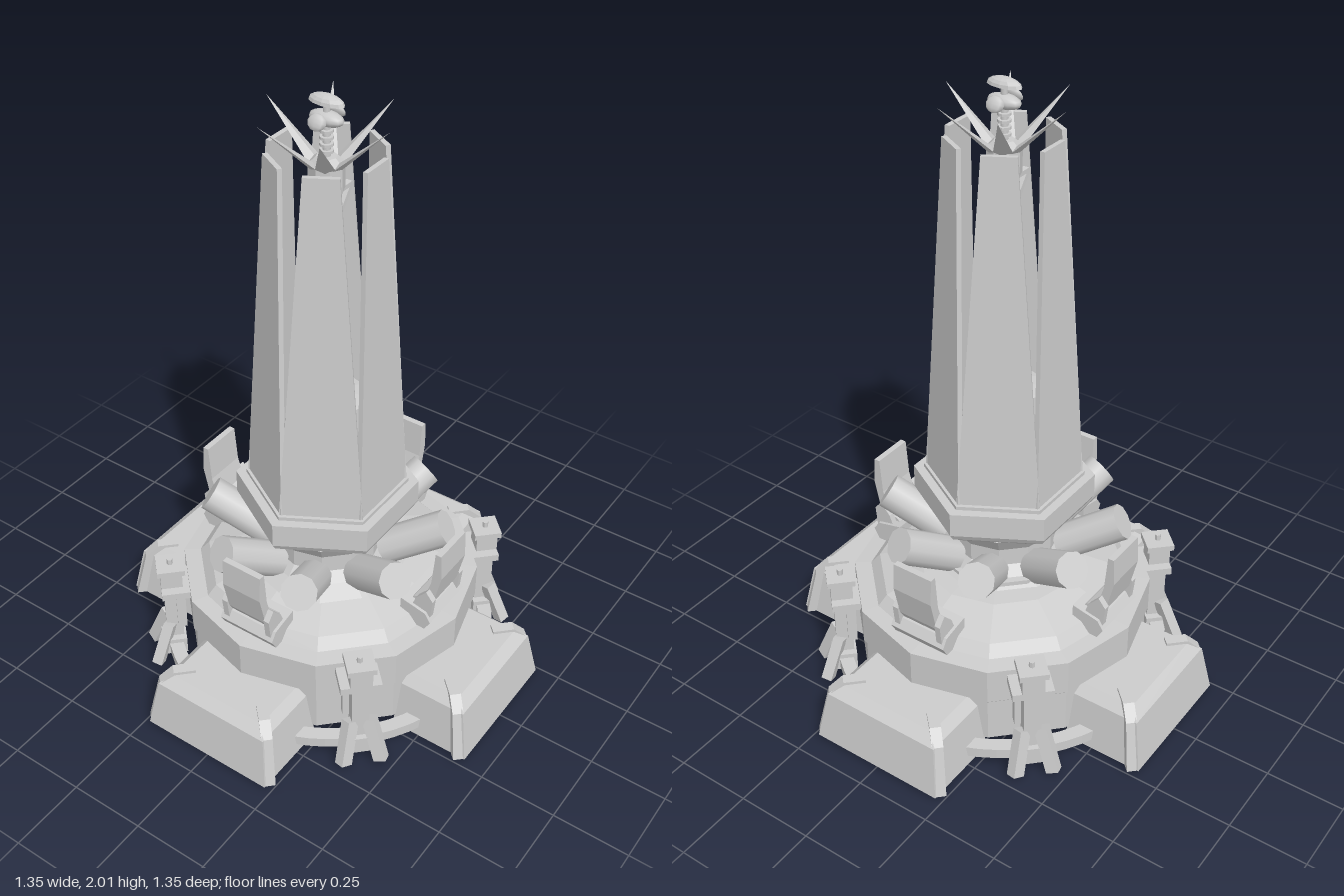
import * as THREE from 'three';

const grey = new THREE.MeshStandardMaterial({ color: 0xcccccc, flatShading: true, side: THREE.DoubleSide });
const smooth = new THREE.MeshStandardMaterial({ color: 0xcccccc });

function add(parent, name, geo, x = 0, y = 0, z = 0, mat = grey) {
  const m = new THREE.Mesh(geo, mat);
  m.name = name;
  m.position.set(x, y, z);
  parent.add(m);
  return m;
}

const box = (w, h, d) => new THREE.BoxGeometry(w, h, d);
const lathe = (pts, sides) => new THREE.LatheGeometry(pts.map(p => new THREE.Vector2(...p)), sides);

// n copies around the y axis; local +z points outward
function around(parent, name, n, offset, build) {
  for (let i = 0; i < n; i++) {
    const g = new THREE.Group();
    g.name = name;
    g.rotation.y = offset + (i * Math.PI * 2) / n;
    build(g);
    parent.add(g);
  }
}

// Mesh whose y axis runs from a to b
function span(parent, name, a, b, makeGeo, mat = grey) {
  const A = new THREE.Vector3(...a), B = new THREE.Vector3(...b);
  const dir = B.clone().sub(A);
  const m = add(parent, name, makeGeo(dir.length()), 0, 0, 0, mat);
  m.position.copy(A).add(B).multiplyScalar(0.5);
  m.quaternion.setFromUnitVectors(new THREE.Vector3(0, 1, 0), dir.normalize());
  return m;
}

// Side profile (radius, height) given a width across
function profile(pts, width) {
  const shape = new THREE.Shape(pts.map(p => new THREE.Vector2(...p)));
  const geo = new THREE.ExtrudeGeometry(shape, { depth: width, bevelEnabled: false });
  return geo.translate(0, 0, -width / 2).rotateY(-Math.PI / 2);
}

// Shell of stacked rectangles [y, halfWidth, zInner, zOuter], open below
function shell(levels) {
  const pos = [];
  const rings = levels.map(([y, w, z0, z1]) => [[w, y, z1], [w, y, z0], [-w, y, z0], [-w, y, z1]]);
  for (let k = 0; k + 1 < rings.length; k++) {
    for (let i = 0; i < 4; i++) {
      if (i === 1) continue; // inner end opens into the drum
      const j = (i + 1) % 4, lo = rings[k], hi = rings[k + 1];
      pos.push(...lo[i], ...lo[j], ...hi[j], ...lo[i], ...hi[j], ...hi[i]);
    }
  }
  const t = rings[rings.length - 1];
  pos.push(...t[0], ...t[1], ...t[2], ...t[0], ...t[2], ...t[3]);
  const geo = new THREE.BufferGeometry();
  geo.setAttribute('position', new THREE.Float32BufferAttribute(pos, 3));
  geo.computeVertexNormals();
  return geo;
}

function buildBase(root) {
  // Twelve-sided hollow drum with stepped lid
  add(root, 'drum', lathe([[0.475, 0.04], [0.475, 0.19], [0.485, 0.2], [0.485, 0.32], [0.43, 0.325],
    [0.4, 0.36], [0.27, 0.405], [0.2, 0.41], [0.2, 0.43], [0, 0.43]], 12));

  // Four buttress arms with corner ribs
  around(root, 'buttress', 4, 0, g => {
    add(g, 'buttressShell', shell([[0, 0.23, 0.41, 0.675], [0.165, 0.205, 0.41, 0.645], [0.195, 0.175, 0.41, 0.61]]));
    for (const s of [-1, 1]) {
      const rib = add(g, 'cornerRib', profile([[0.275, 0], [0.325, 0], [0.285, 0.165], [0.24, 0.205], [0.17, 0.205], [0.17, 0.18], [0.22, 0.17]], 0.035));
      rib.position.set(s * 0.01, 0, 0.43);
      rib.rotation.y = s * Math.PI / 4;
    }
  });

  // Rail arcs between the buttresses
  const arc = 0.8;
  around(root, 'rail', 4, Math.PI / 4, g => {
    const pts = [[0.505, 0.03], [0.55, 0.03], [0.55, 0.065], [0.505, 0.065], [0.505, 0.03]].map(p => new THREE.Vector2(...p));
    add(g, 'railArc', new THREE.LatheGeometry(pts, 8, -arc / 2, arc));
  });

  // Diagonal posts clamped to drum and rail
  around(root, 'post', 4, Math.PI / 4, g => {
    add(g, 'postShaft', box(0.055, 0.27, 0.055), 0, 0.19, 0.525);
    add(g, 'postHead', box(0.07, 0.09, 0.07), 0, 0.33, 0.525);
    add(g, 'postCap', box(0.09, 0.02, 0.09), 0, 0.37, 0.525);
    add(g, 'capKnob', new THREE.CylinderGeometry(0.01, 0.01, 0.02, 6), 0, 0.39, 0.525);
    add(g, 'postBracket', box(0.13, 0.025, 0.11), 0, 0.29, 0.505);
    add(g, 'railClamp', box(0.1, 0.06, 0.08), 0, 0.05, 0.53);
    for (const s of [-1, 1]) {
      add(g, 'sideStrut', box(0.02, 0.14, 0.03), s * 0.04, 0.21, 0.5);
      span(g, 'splayedLeg', [s * 0.03, 0.14, 0.54], [s * 0.06, 0.0, 0.59], l => box(0.035, l, 0.04));
    }
  });

  // Upright guards standing on the lid
  around(root, 'guard', 4, 0, g => {
    add(g, 'guardFoot', profile([[0.34, 0.33], [0.43, 0.325], [0.45, 0.36], [0.43, 0.39], [0.34, 0.41]], 0.2));
    add(g, 'guardPlate', profile([[0.34, 0.37], [0.37, 0.41], [0.41, 0.43], [0.43, 0.5], [0.44, 0.62],
      [0.46, 0.62], [0.465, 0.53], [0.44, 0.42], [0.41, 0.37]], 0.14));
    for (const s of [-1, 1]) {
      add(g, 'guardRib', profile([[0.36, 0.35], [0.39, 0.43], [0.425, 0.47], [0.45, 0.44], [0.44, 0.35]], 0.02), s * 0.08);
    }
  });
}

function buildTower(root) {
  // Hub and hexagonal collar
  add(root, 'hub', lathe([[0.26, 0.4], [0.21, 0.43], [0.18, 0.46], [0.18, 0.52], [0.22, 0.58]], 12));
  const collar = add(root, 'hexCollar', lathe([[0, 0.56], [0.22, 0.56], [0.275, 0.6], [0.287, 0.62], [0.287, 0.7],
    [0.255, 0.7], [0.255, 0.712], [0, 0.712]], 6));
  collar.rotation.y = Math.PI / 6;

  // Eight canted barrels
  around(root, 'barrel', 8, Math.PI / 8, g => {
    span(g, 'barrelTube', [0, 0.445, 0.19], [0, 0.56, 0.385], l => new THREE.CylinderGeometry(0.058, 0.058, l, 10), smooth);
  });

  // Six tapering panels leaning inward
  const h = 1.125, inward = 0.046;
  around(root, 'towerPanel', 6, 0, g => {
    const s = new THREE.Shape([[-0.127, 0], [0.127, 0], [0.05, h], [-0.05, h]].map(p => new THREE.Vector2(...p)));
    const m = add(g, 'panelPlate', new THREE.ExtrudeGeometry(s, { depth: 0.015, bevelEnabled: false }).translate(0, 0, -0.015), 0, 0.715, 0.213);
    m.rotation.x = -Math.atan(inward / h);
  });

  // Inner core
  add(root, 'lowerCore', lathe([[0.15, 0.7], [0.125, 0.95], [0.12, 1.02], [0.07, 1.03]], 12));
  add(root, 'upperCore', lathe([[0.07, 1.02], [0.045, 1.6], [0.04, 1.7], [0.052, 1.72], [0.052, 1.8], [0.03, 1.82], [0, 1.82]], 8));

  // Triangular brackets on both sides of the core
  for (const s of [-1, 1]) {
    const tri = [[s * 0.035, 1.69, 0], [s * 0.11, 1.69, 0], [s * 0.05, 1.61, 0]];
    tri.forEach((p, i) => span(root, 'coreBracket', p, tri[(i + 1) % 3], l => box(0.014, l, 0.02)));
  }

  // Crown of six spikes
  around(root, 'crownSpike', 6, 0, g => {
    span(g, 'spike', [0, 1.785, 0.03], [0, 1.945, 0.2], l => new THREE.ConeGeometry(0.03, l, 4).scale(1, 1, 0.35));
  });
}

function buildFinial(root) {
  // Ringed stem
  add(root, 'stem', new THREE.CylinderGeometry(0.01, 0.012, 0.17, 8), 0, 1.89, 0, smooth);
  for (let i = 0; i < 4; i++) {
    add(root, 'stemRing', new THREE.CylinderGeometry(0.02, 0.02, 0.008, 10), 0, 1.835 + i * 0.02, 0);
  }
  // Pod with side ears
  add(root, 'pod', new THREE.SphereGeometry(1, 12, 8).scale(0.028, 0.022, 0.055), 0, 1.93, 0, smooth);
  for (const s of [-1, 1]) {
    const ear = add(root, 'podEar', new THREE.SphereGeometry(1, 8, 6).scale(0.012, 0.024, 0.03), s * 0.045, 1.935, 0, smooth);
    ear.rotation.z = s * 0.5;
    span(root, 'earRod', [0, 1.92, 0], [s * 0.045, 1.935, 0], l => box(0.01, l, 0.01));
  }
  // Curved top dish
  add(root, 'topDish', new THREE.SphereGeometry(1, 12, 4, 0, Math.PI * 2, 0, Math.PI / 2).scale(0.027, 0.025, 0.057), 0, 1.975, 0);
}

export function createModel() {
  const model = new THREE.Group();
  model.name = 'tower';
  const base = new THREE.Group();
  base.name = 'base';
  buildBase(base);
  // The turret sits slightly off the base centre
  const turret = new THREE.Group();
  turret.name = 'turret';
  turret.position.set(-0.033, 0, 0.013);
  buildTower(turret);
  buildFinial(turret);
  model.add(base, turret);
  return model;
}
